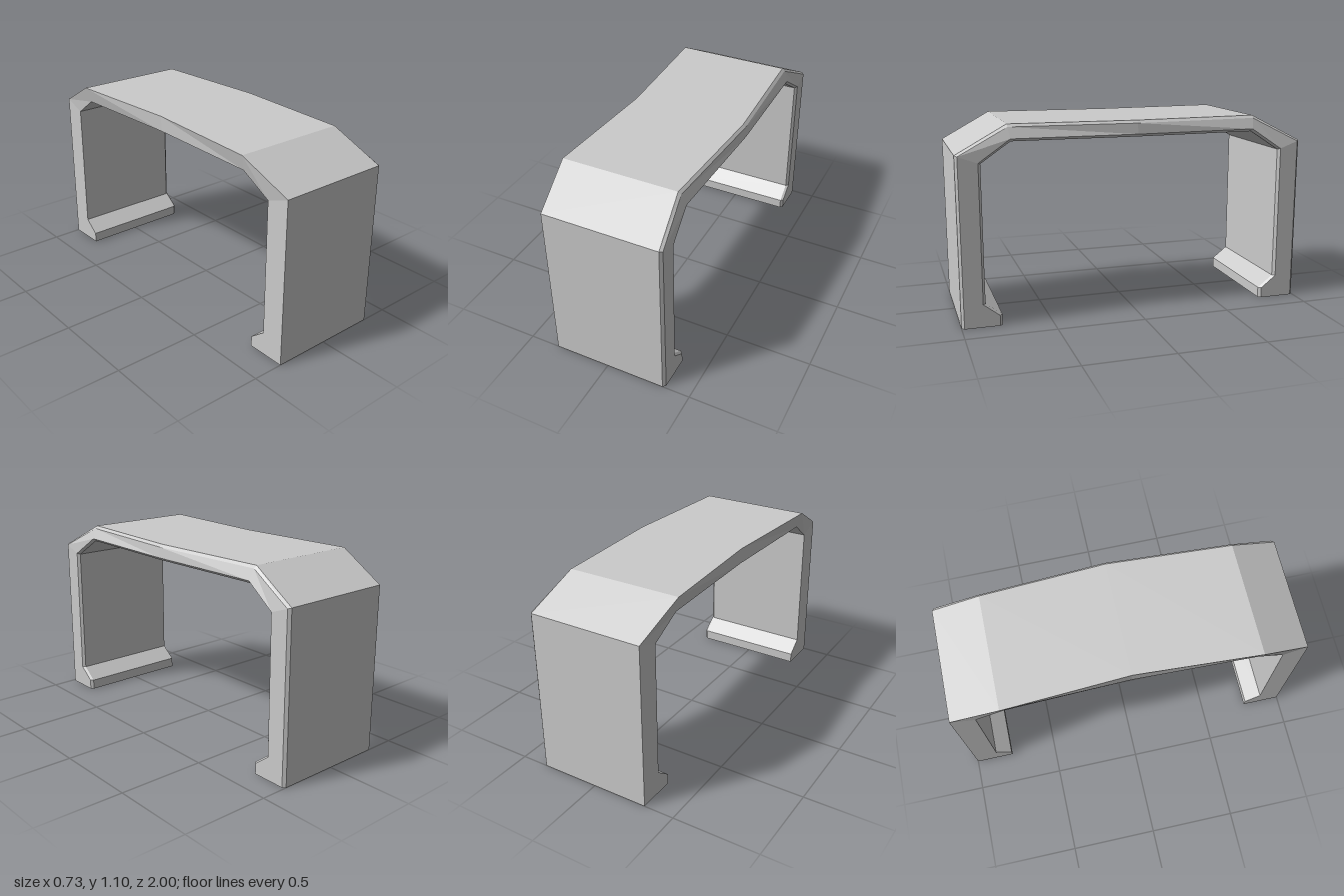
import * as THREE from 'three';

// Half of the arch from foot to crown: outer [z, y], inner [z, y], sideways shift of each edge
const half = [
  { o: [1, 0], i: [0.775, 0], so: 0, si: 0 },
  { o: [1, 0.06], i: [0.775, 0.06], so: 0, si: 0 },
  { o: [1, 0.13], i: [0.865, 0.13], so: 0, si: 0 },
  { o: [1, 0.95], i: [0.865, 0.9], so: 0, si: 0 },
  { o: [0.715, 1.1], i: [0.7, 1.01], so: -0.04, si: -0.015 },
  { o: [0, 1.1], i: [0, 1.01], so: 0, si: 0.005 },
];

const LEFT = -0.325, RIGHT = 0.34, BEVEL = 0.015;

// Six-sided cross-section: plain on the -x side, bevelled on the +x side
function section({ o, i, so, si }, mirror) {
  const t = BEVEL / Math.hypot(o[0] - i[0], o[1] - i[1]);
  const point = (x, k) => new THREE.Vector3(
    x,
    THREE.MathUtils.lerp(o[1], i[1], k),
    mirror * THREE.MathUtils.lerp(o[0], i[0], k),
  );
  return [
    point(LEFT + so, 0), point(RIGHT + so, 0),
    point(RIGHT + BEVEL + so, t), point(RIGHT + BEVEL + si, 1 - t),
    point(RIGHT + si, 1), point(LEFT + si, 1),
  ];
}

function archGeometry() {
  const rings = [
    ...half.map((s) => section(s, 1)),
    ...half.slice(0, -1).reverse().map((s) => section(s, -1)),
  ];
  const points = [];
  const n = rings[0].length;
  // Skin between neighbouring sections
  for (let r = 0; r < rings.length - 1; r++) {
    for (let j = 0; j < n; j++) {
      const k = (j + 1) % n;
      const a = rings[r][j], b = rings[r][k], c = rings[r + 1][k], d = rings[r + 1][j];
      points.push(a, b, c, a, c, d);
    }
  }
  // Soles of the two feet
  const first = rings[0], last = rings[rings.length - 1];
  for (let j = 1; j < n - 1; j++) {
    points.push(first[0], first[j + 1], first[j], last[0], last[j], last[j + 1]);
  }
  const geometry = new THREE.BufferGeometry().setFromPoints(points);
  geometry.computeVertexNormals();
  return geometry;
}

export function createModel() {
  const group = new THREE.Group();
  group.name = 'archModel';
  const material = new THREE.MeshStandardMaterial({ color: 0xcccccc, flatShading: true });
  const arch = new THREE.Mesh(archGeometry(), material);
  arch.name = 'archShell';
  group.add(arch);
  return group;
}
